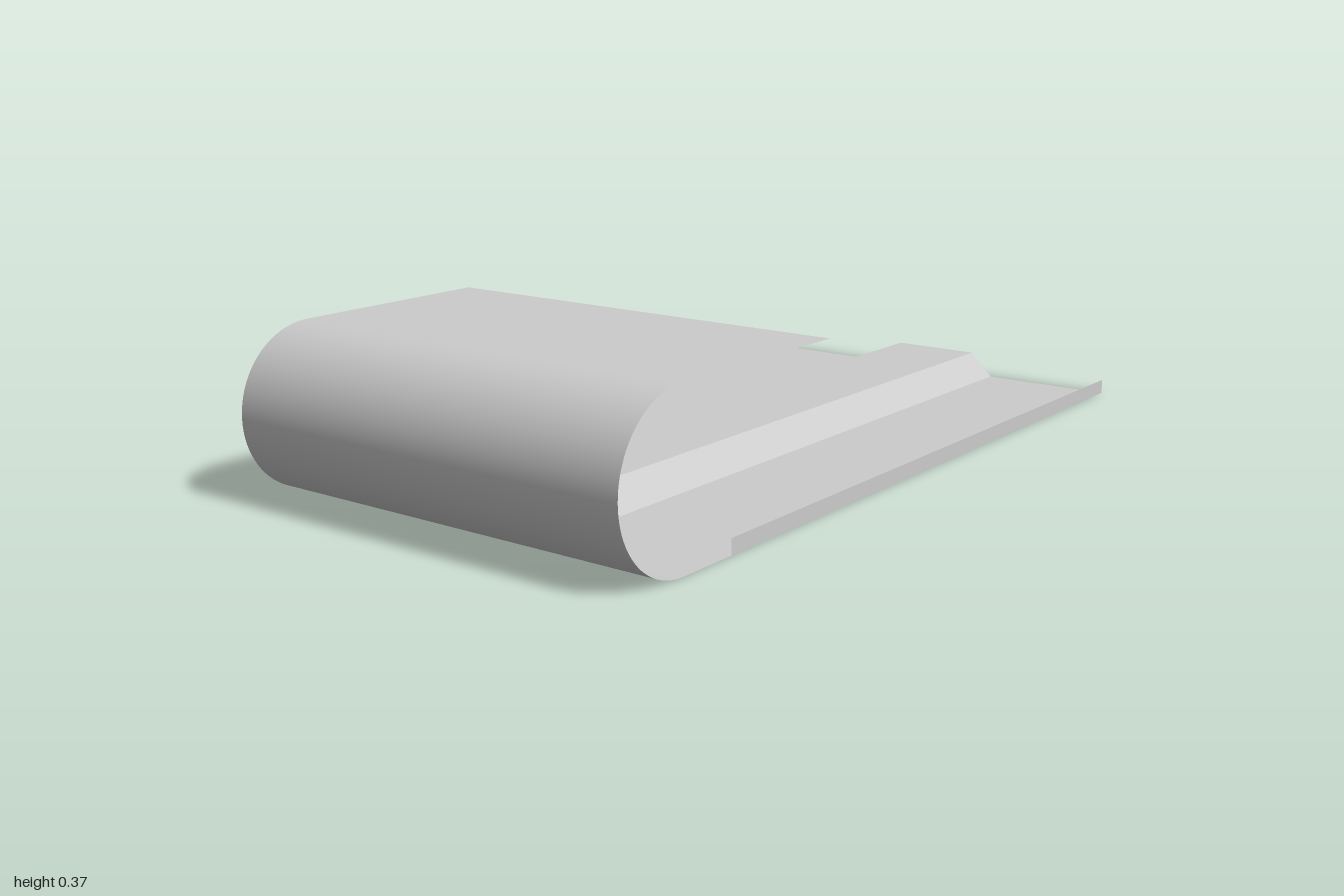
import * as THREE from 'three';

const HALF = 0.505;     // half width of the sheet
const HEIGHT = 0.367;   // height of the folded hook
const BASE_FRONT = 0.667;
const R = HEIGHT / 2;

const material = new THREE.MeshStandardMaterial({ color: 0xcccccc, side: THREE.DoubleSide });

// Flat sheet panel spanning a -> b in the xy plane, running from z0 to z1
function panel(name, a, b, z0, z1) {
  const g = new THREE.BufferGeometry();
  const p = [...a, z1, ...b, z1, ...b, z0, ...a, z0];
  g.setAttribute('position', new THREE.Float32BufferAttribute(p, 3));
  g.setIndex([0, 1, 2, 0, 2, 3]);
  g.computeVertexNormals();
  const mesh = new THREE.Mesh(g, material);
  mesh.name = name;
  return mesh;
}

export function createModel() {
  const model = new THREE.Group();
  model.name = 'foldedSheetClip';

  // Base plate: edge flanges, flat strips and the raised trapezoid rib
  const base = new THREE.Group();
  base.name = 'basePlate';
  const profile = [
    [-HALF, 0.035], [-HALF, 0], [-0.175, 0], [-0.115, 0.06],
    [0.115, 0.06], [0.175, 0], [HALF, 0], [HALF, 0.035],
  ];
  const names = ['rightFlange', 'rightFloor', 'ribRightSlope', 'ribTop', 'ribLeftSlope', 'leftFloor', 'leftFlange'];
  names.forEach((name, i) => base.add(panel(name, profile[i], profile[i + 1], -1, BASE_FRONT)));
  model.add(base);

  // Front hook: lower lip, half-round bend and the returning top flap
  const hook = new THREE.Group();
  hook.name = 'frontHook';
  hook.add(panel('lowerLip', [-HALF, 0], [HALF, 0], BASE_FRONT, 1 - R));
  const bendGeometry = new THREE.CylinderGeometry(R, R, HALF * 2, 48, 1, true, -Math.PI / 2, Math.PI);
  bendGeometry.rotateZ(Math.PI / 2);
  const bend = new THREE.Mesh(bendGeometry, material);
  bend.name = 'roundBend';
  bend.position.set(0, R, 1 - R);
  hook.add(bend);
  hook.add(panel('topFlap', [-HALF, HEIGHT], [HALF, HEIGHT], 0.333, 1 - R));
  model.add(hook);

  return model;
}
